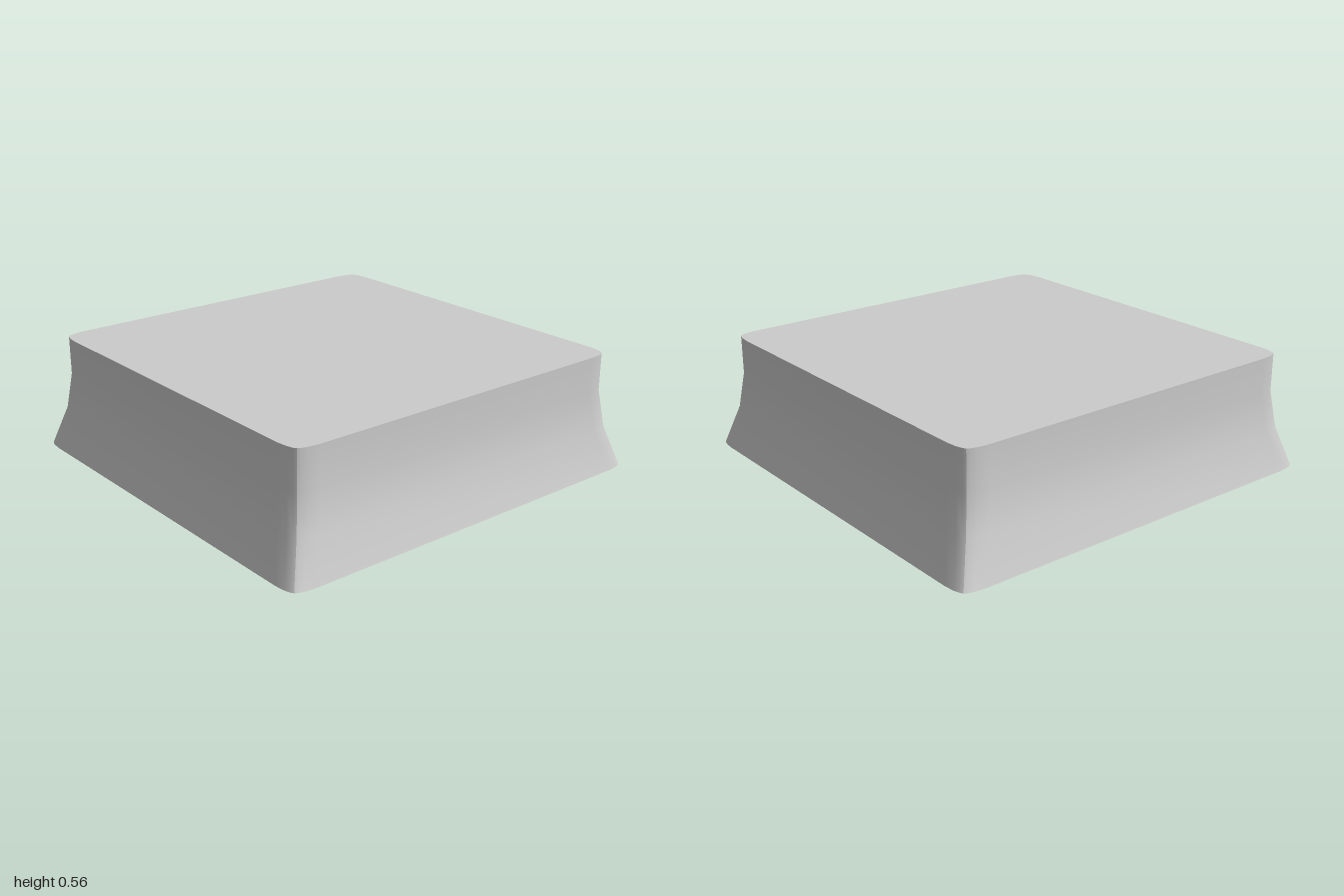
import * as THREE from 'three';

// half-width of the block at each height: [y, half-width]
const PROFILE = [[0, 1], [0.19, 0.94], [0.37, 0.915], [0.555, 0.915]];
// softened corner: [distance from the end of a side, inset from its plane]
const CORNER = [[0.022, 0.022], [0.035, 0.014], [0.065, 0.005], [0.115, 0]];

// one side's outline at half-width h, as [along, outward] pairs
function sideOutline(h) {
  const left = CORNER.map(([a, inset]) => [a - h, h - inset]);
  const right = left.map(([x, d]) => [-x, d]).reverse();
  return [...left, ...right];
}

// flared wall facing +z, smooth inside and sharp where it meets its neighbours
function wallGeometry() {
  const positions = [], index = [];
  const cols = CORNER.length * 2;
  PROFILE.forEach(([y, h], row) => {
    sideOutline(h).forEach(([x, d], col) => {
      positions.push(x, y, d);
      if (row === PROFILE.length - 1 || col === cols - 1) return;
      const a = row * cols + col, b = a + cols;
      index.push(a, a + 1, b, a + 1, b + 1, b);
    });
  });
  const geometry = new THREE.BufferGeometry();
  geometry.setAttribute('position', new THREE.Float32BufferAttribute(positions, 3));
  geometry.setIndex(index);
  geometry.computeVertexNormals();
  return geometry;
}

// flat square with softened corners, facing +z
function capGeometry(h) {
  const points = [];
  const origin = new THREE.Vector2();
  for (let i = 0; i < 4; i++) {
    // neighbouring sides share their corner point, so skip the last
    for (const [x, d] of sideOutline(h).slice(0, -1)) {
      points.push(new THREE.Vector2(x, -d).rotateAround(origin, i * Math.PI / 2));
    }
  }
  return new THREE.ShapeGeometry(new THREE.Shape(points));
}

export function createModel() {
  const model = new THREE.Group();
  model.name = 'flaredBlock';
  const material = new THREE.MeshStandardMaterial({ color: 0xcccccc });
  const add = (name, geometry) => {
    const mesh = new THREE.Mesh(geometry, material);
    mesh.name = name;
    model.add(mesh);
    return mesh;
  };

  // four walls
  const wall = wallGeometry();
  ['frontWall', 'leftWall', 'backWall', 'rightWall'].forEach((name, i) => {
    add(name, wall).rotation.y = i * Math.PI / 2;
  });

  // top and bottom faces
  const [topY, topHalf] = PROFILE[PROFILE.length - 1];
  const top = add('topFace', capGeometry(topHalf));
  top.rotation.x = -Math.PI / 2;
  top.position.y = topY;
  add('bottomFace', capGeometry(PROFILE[0][1])).rotation.x = Math.PI / 2;

  return model;
}
